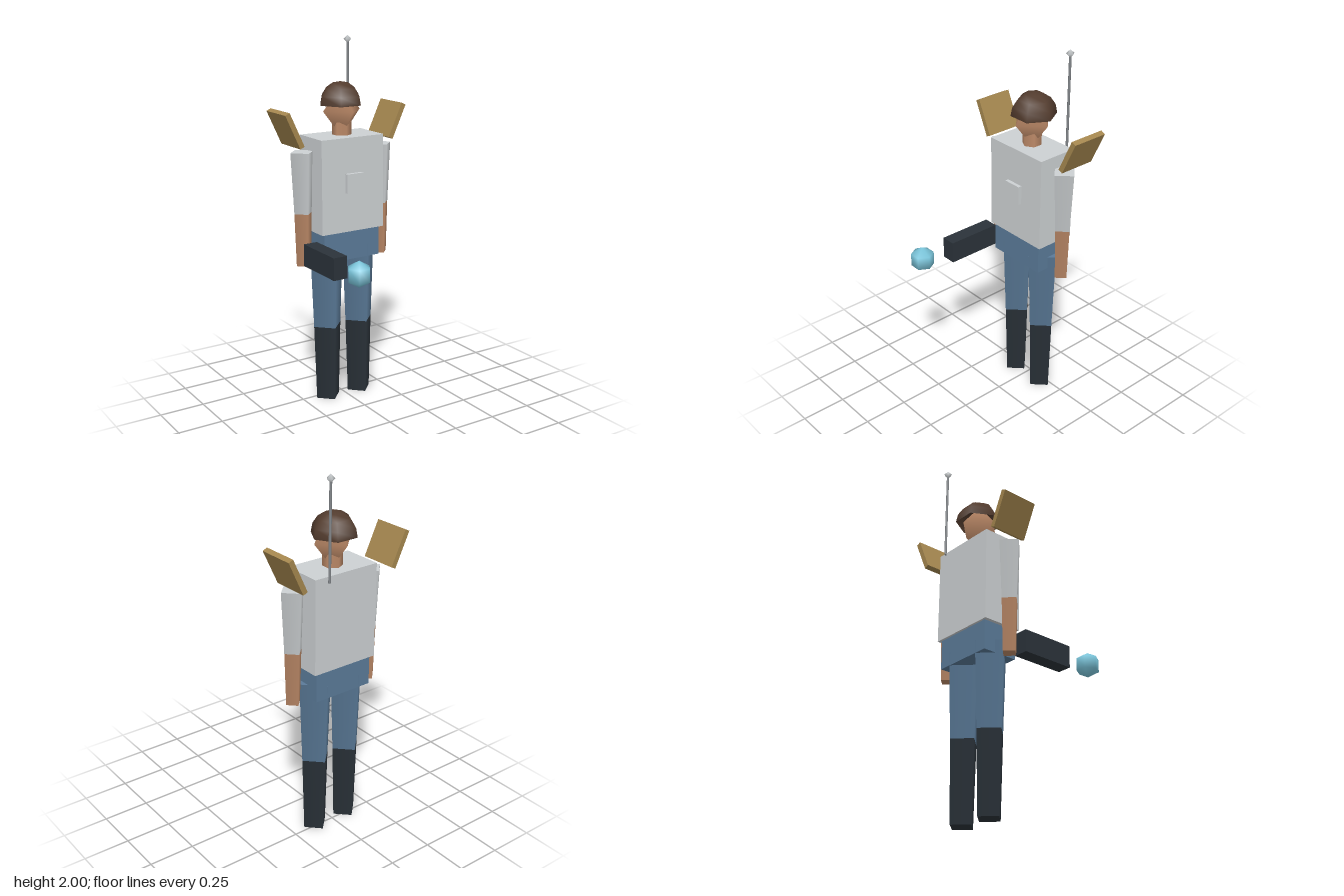
import * as THREE from 'three';

export function createModel() {
  const model = new THREE.Group();
  model.name = 'figure';
  const paint = (name, color) => {
    const m = new THREE.MeshStandardMaterial({ color });
    m.name = name;
    return m;
  };
  const shell = paint('paleGrey', 0xcdd1d3);
  const skin = paint('skin', 0xbd8a68);
  const denim = paint('denimBlue', 0x5b7b99);
  const dark = paint('charcoal', 0x2b333a);
  const hairBrown = paint('hairBrown', 0x533c2e);
  hairBrown.side = THREE.DoubleSide;
  const ochre = paint('ochre', 0xa5874f);
  const cyan = paint('cyan', 0x7cc8de);
  const metal = paint('metal', 0x85898d);

  const Z = -0.225; // body centre line
  const add = (name, geo, mat, x, y, z = Z) => {
    const mesh = new THREE.Mesh(geo, mat);
    mesh.name = name;
    mesh.position.set(x, y, z);
    model.add(mesh);
    return mesh;
  };
  const box = (name, mat, w, h, d, x, y, z) =>
    add(name, new THREE.BoxGeometry(w, h, d), mat, x, y, z);
  // Tapered limb between two heights
  const limb = (name, mat, x, y0, y1, r0, r1, sides = 4) =>
    add(name, new THREE.CylinderGeometry(r1, r0, y1 - y0, sides), mat, x, (y0 + y1) / 2);

  // Trunk
  box('torso', shell, 0.384, 0.51, 0.225, 0, 1.235, Z);
  box('pelvis', denim, 0.345, 0.16, 0.2, 0, 0.9, Z);
  box('chestPanel', shell, 0.104, 0.104, 0.02, 0, 1.248, -0.098);

  // Neck, head and hair cap
  limb('neck', skin, 0, 1.46, 1.56, 0.052, 0.052, 6);
  add('head', new THREE.SphereGeometry(0.114, 4, 2), skin, 0, 1.62).scale.y = 1.25;
  add('hair', new THREE.SphereGeometry(0.122, 6, 4, 0, Math.PI * 2, 0, Math.PI / 2),
    hairBrown, 0, 1.65, -0.235);

  // Mirrored limbs and shoulder panels
  for (const [side, s] of [['left', 1], ['right', -1]]) {
    limb(side + 'Boot', dark, s * 0.102, 0, 0.43, 0.072, 0.085);
    limb(side + 'Thigh', denim, s * 0.102, 0.43, 0.89, 0.085, 0.103);
    limb(side + 'Forearm', skin, s * 0.245, 0.8, 1.09, 0.044, 0.053);
    limb(side + 'UpperArm', shell, s * 0.245, 1.09, 1.42, 0.053, 0.07);
    box(side + 'ShoulderPanel', ochre, 0.028, 0.2, 0.205, s * 0.318, 1.543, -0.266)
      .rotation.z = -s * 0.436;
  }

  // Hand-held tool with a floating orb ahead of it
  box('tool', dark, 0.08, 0.12, 0.304, -0.245, 0.88, 0);
  add('orb', new THREE.SphereGeometry(0.07, 6, 3), cyan, -0.245, 0.897, 0.326);

  // Antenna
  add('antennaRod', new THREE.CylinderGeometry(0.007, 0.007, 0.51, 5), metal, 0.123, 1.72, -0.357);
  add('antennaTip', new THREE.SphereGeometry(0.022, 5, 2), shell, 0.123, 1.978, -0.357)
    .rotation.y = Math.PI;

  return model;
}
